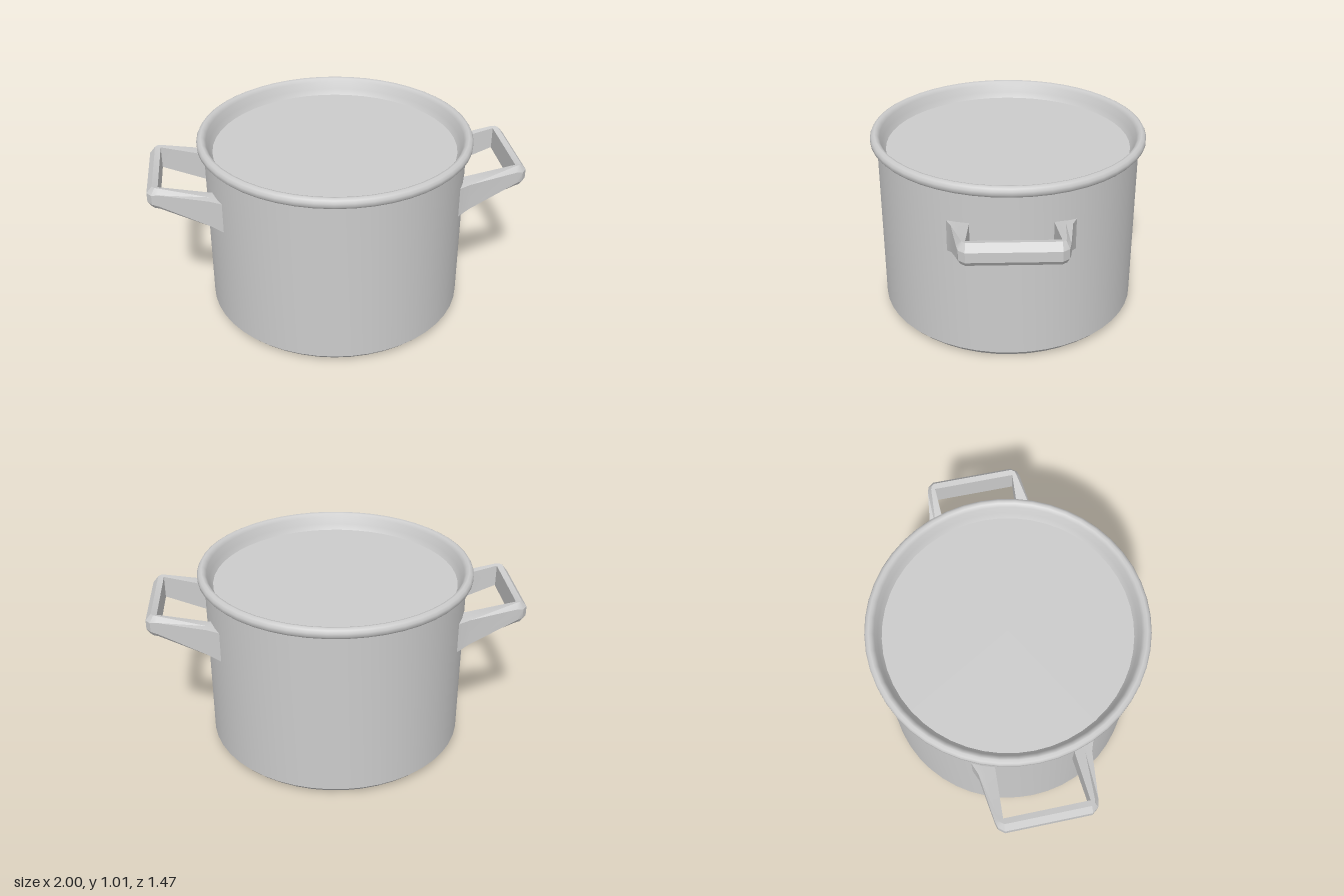
import * as THREE from 'three';
import { toCreasedNormals } from 'three/addons/utils/BufferGeometryUtils.js';

const SEGMENTS = 48;
const material = new THREE.MeshStandardMaterial({ color: 0xcccccc });

function addMesh(parent, name, geometry) {
  const mesh = new THREE.Mesh(geometry, material);
  mesh.name = name;
  parent.add(mesh);
  return mesh;
}

function lathe(points, crease) {
  const profile = points.map(([r, y]) => new THREE.Vector2(r, y));
  return toCreasedNormals(new THREE.LatheGeometry(profile, SEGMENTS), crease);
}

// Cross-section as [across, up] fractions: square at the wall, chamfered at the grip
const SQUARE = [[0, 1], [0.6, 1], [1, 1], [1, 0], [0.6, 0], [0, 0]];
const GRIP = [[0, 0.95], [0.5, 1], [1, 0.72], [1, 0.32], [0.7, 0.13], [0, 0]];

function section({ inner, outer, top, bottom, chamfer }) {
  return SQUARE.map(([su, sv], i) => {
    const u = THREE.MathUtils.lerp(su, GRIP[i][0], chamfer);
    const v = THREE.MathUtils.lerp(sv, GRIP[i][1], chamfer);
    return [
      THREE.MathUtils.lerp(inner[0], outer[0], u),
      THREE.MathUtils.lerp(bottom, top, v),
      THREE.MathUtils.lerp(inner[1], outer[1], u),
    ];
  });
}

// Loft from the wall, around the grip and back to the wall
function handleGeometry() {
  const half = [
    { inner: [0.62, 0.205], outer: [0.62, 0.32], top: 0.785, bottom: 0.615, chamfer: 0 },
    { inner: [0.685, 0.207], outer: [0.685, 0.295], top: 0.797, bottom: 0.638, chamfer: 0.1 },
    { inner: [0.935, 0.22], outer: [0.94, 0.263], top: 0.858, bottom: 0.73, chamfer: 0.8 },
    { inner: [0.938, 0.22], outer: [0.975, 0.254], top: 0.86, bottom: 0.73, chamfer: 1 },
    { inner: [0.94, 0.219], outer: [1, 0.222], top: 0.86, bottom: 0.73, chamfer: 1 },
  ];
  const mirrored = half.map((s) => ({
    ...s, inner: [s.inner[0], -s.inner[1]], outer: [s.outer[0], -s.outer[1]],
  })).reverse();
  const rings = [...half, ...mirrored].map(section);
  const n = SQUARE.length;
  const index = [];
  for (let i = 0; i < rings.length - 1; i++) {
    for (let j = 0; j < n; j++) {
      const a = i * n + j, b = i * n + (j + 1) % n;
      index.push(a, b, a + n, b, b + n, a + n);
    }
  }
  // Closed ends inside the wall
  const last = (rings.length - 1) * n;
  for (let j = 1; j < n - 1; j++) {
    index.push(0, j + 1, j, last, last + j, last + j + 1);
  }
  const geometry = new THREE.BufferGeometry();
  geometry.setAttribute('position', new THREE.Float32BufferAttribute(rings.flat(2), 3));
  geometry.setIndex(index);
  return toCreasedNormals(geometry, 0.5);
}

export function createModel() {
  const pot = new THREE.Group();
  pot.name = 'cookingPot';

  // Straight body with a small chamfer at the base
  addMesh(pot, 'body', lathe([
    [0, 0], [0.66, 0], [0.68, 0.018], [0.7, 0.04], [0.7, 0.96],
  ], 0.6));

  // Rolled rim running down into the inner wall
  addMesh(pot, 'rim', lathe([
    [0.698, 0.95], [0.722, 0.957], [0.735, 0.972], [0.735, 0.99],
    [0.727, 1.004], [0.712, 1.012], [0.698, 1.008], [0.685, 0.99],
    [0.673, 0.95], [0.655, 0.92],
  ], 0.9));

  // Flat surface just below the rim
  const surface = addMesh(pot, 'innerSurface', new THREE.CircleGeometry(0.656, SEGMENTS));
  surface.rotation.x = -Math.PI / 2;
  surface.position.y = 0.92;

  // Matching handles on both sides
  const handle = handleGeometry();
  addMesh(pot, 'leftHandle', handle);
  addMesh(pot, 'rightHandle', handle).rotation.y = Math.PI;

  return pot;
}
